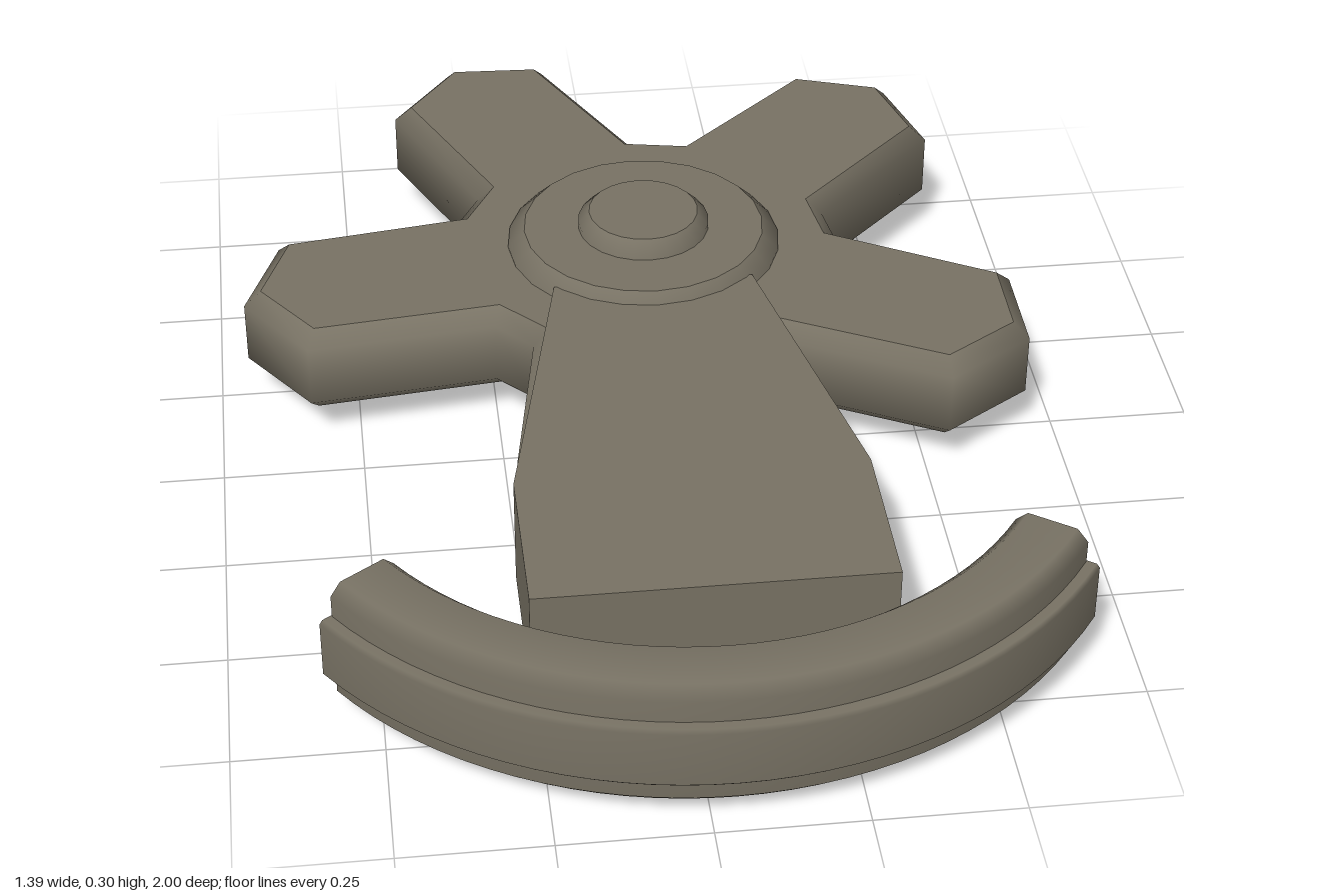
import * as THREE from 'three';

const metal = new THREE.MeshStandardMaterial({ color: 0x787264 });
metal.name = 'dull bronze';

const CX = 0.04;      // shared centre line of every part
const HUB_Z = -0.33;  // wheel centre
const ARC_Z = 0.23;   // centre of the curved guard
const rad = THREE.MathUtils.degToRad;

function addMesh(group, name, geometry, z) {
  const mesh = new THREE.Mesh(geometry, metal);
  mesh.name = name;
  mesh.position.set(CX, 0, z);
  group.add(mesh);
  return mesh;
}

// Points at [radius, degrees] as flat outline vertices
const polar = (r, deg) => new THREE.Vector2(r * Math.cos(rad(deg)), r * Math.sin(rad(deg)));

// Average the normals of the side walls while the two caps stay flat
function smoothWalls(geo) {
  const p = geo.attributes.position, n = geo.attributes.normal;
  const sums = new Map();
  const key = i => [p.getX(i), p.getY(i), p.getZ(i)].map(v => Math.round(v * 1e4)).join();
  const walls = geo.groups.filter(g => g.materialIndex === 1);
  const each = fn => walls.forEach(g => {
    for (let i = g.start; i < g.start + g.count; i++) fn(i);
  });
  each(i => {
    const k = key(i);
    if (!sums.has(k)) sums.set(k, new THREE.Vector3());
    sums.get(k).add(new THREE.Vector3().fromBufferAttribute(n, i));
  });
  each(i => {
    const v = sums.get(key(i)).clone().normalize();
    n.setXYZ(i, v.x, v.y, v.z);
  });
}

// Horizontal plate from an outline, with chamfered rims inside that outline
function plate(points, y0, y1, bevel = 0) {
  const geo = new THREE.ExtrudeGeometry(new THREE.Shape(points), {
    depth: y1 - y0 - 2 * bevel,
    bevelEnabled: bevel > 0,
    bevelThickness: bevel, bevelSize: bevel, bevelOffset: -bevel, bevelSegments: 1,
  });
  if (bevel > 0) smoothWalls(geo);
  geo.translate(0, 0, y0 + bevel);
  geo.rotateX(-Math.PI / 2);
  geo.clearGroups();
  return geo;
}

const circle = (r, sides) => Array.from({ length: sides }, (_, i) => polar(r, i * 360 / sides));

// Curved bar with a chamfered rectangular section and closed ends
function curvedBar(group, name, r0, r1, y0, y1, c, halfAngle) {
  const section = [
    [(r0 + r1) / 2, y0], [r1 - c, y0], [r1, y0 + c], [r1, y1 - c], [r1 - c, y1],
    [r0 + c, y1], [r0, y1 - c], [r0, y0 + c], [r0 + c, y0], [(r0 + r1) / 2, y0],
  ].map(([x, y]) => new THREE.Vector2(x, y));
  addMesh(group, name, new THREE.LatheGeometry(section, 32, -halfAngle, 2 * halfAngle), ARC_Z);
  for (const side of [-1, 1]) {
    const outline = section.slice(0, -1).map(v => new THREE.Vector2(-side * v.x, v.y));
    const cap = new THREE.ShapeGeometry(new THREE.Shape(outline));
    cap.rotateY(side * (halfAngle + Math.PI / 2));
    addMesh(group, name + 'End', cap, ARC_Z);
  }
}

export function createModel() {
  const model = new THREE.Group();
  model.name = 'wheelWithArmAndGuard';

  // Five-lobed hand wheel
  const star = [];
  for (let i = 0; i < 5; i++) {
    const a = 43.4 + i * 72;
    star.push(polar(0.36, a - 28.7), polar(0.675, a - 14.3), polar(0.743, a),
      polar(0.675, a + 14.3), polar(0.36, a + 28.7));
  }
  addMesh(model, 'lobedWheel', plate(star, 0.065, 0.235, 0.028), HUB_Z);

  // Hub disc and centre pin, showing on both faces
  addMesh(model, 'hubDisc', plate(circle(0.25, 24), 0.035, 0.268, 0.03), HUB_Z);
  addMesh(model, 'centrePin', plate(circle(0.12, 24), 0, 0.3, 0.02), HUB_Z);

  // Flared arm from the hub towards the guard
  const arm = [[-0.3, -0.7], [0.3, -0.7], [0.3, -0.4], [0.18, 0.17], [-0.18, 0.17], [-0.3, -0.4]]
    .map(([x, y]) => new THREE.Vector2(x, y));
  addMesh(model, 'flaredArm', plate(arm, 0.052, 0.25), 0);

  // Curved guard with a raised rib along its outside
  curvedBar(model, 'curvedGuard', 0.62, 0.747, 0.033, 0.27, 0.02, rad(55));
  curvedBar(model, 'guardRib', 0.69, 0.77, 0.095, 0.21, 0.006, rad(55.2));

  return model;
}
